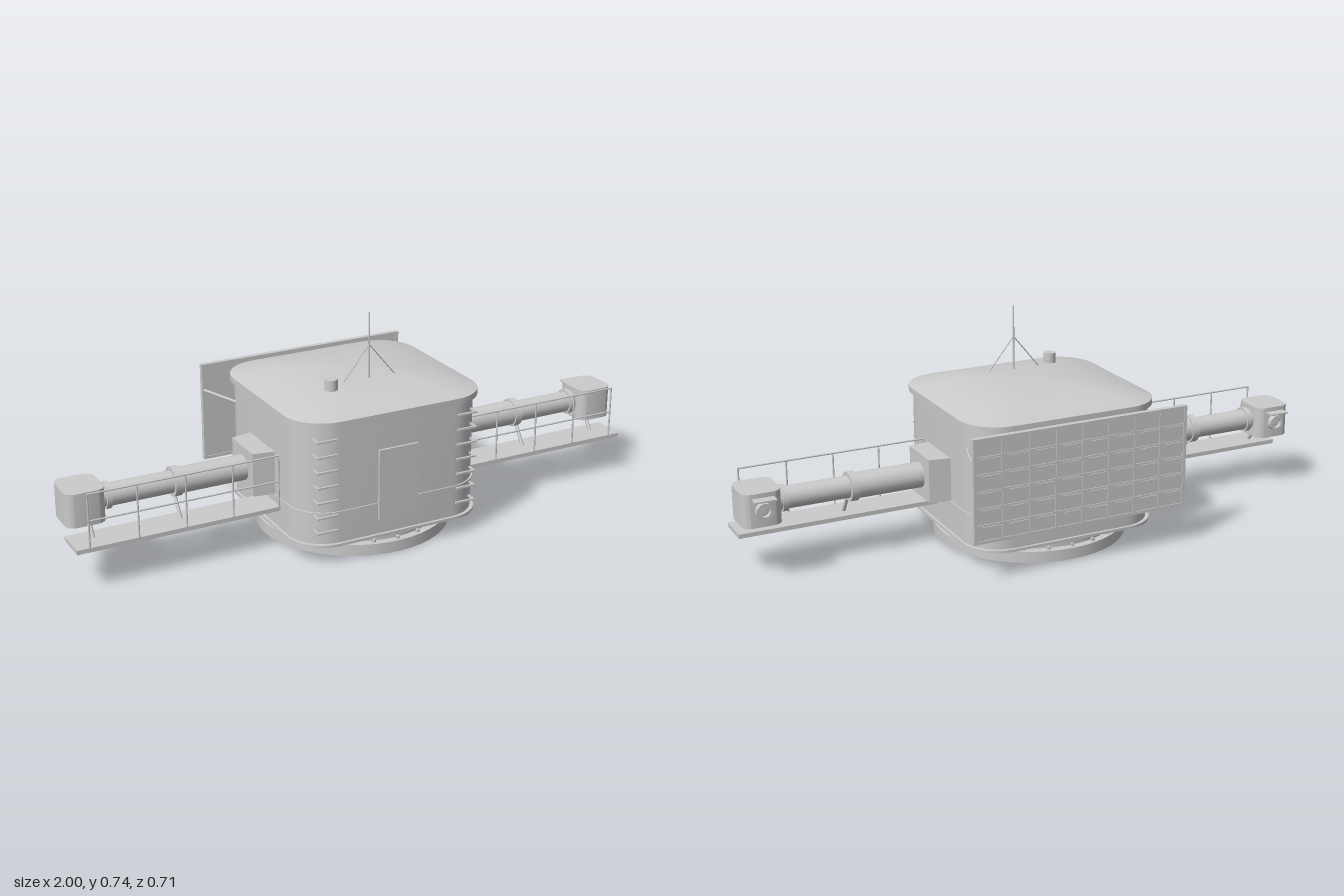
import * as THREE from 'three';
import { toCreasedNormals } from 'three/addons/utils/BufferGeometryUtils.js';

const grey = new THREE.MeshStandardMaterial({ color: 0xcccccc });
const CZ = 0.035; // depth of the body axis

function add(parent, name, geometry, x = 0, y = 0, z = 0) {
  const mesh = new THREE.Mesh(geometry, grey);
  mesh.name = name;
  mesh.position.set(x, y, z);
  parent.add(mesh);
  return mesh;
}

function box(parent, name, w, h, d, x, y, z) {
  return add(parent, name, new THREE.BoxGeometry(w, h, d), x, y, z);
}

// Round bar between two points
function rod(parent, name, a, b, r0, r1 = r0, sides = 8) {
  const from = new THREE.Vector3(...a), to = new THREE.Vector3(...b);
  const dir = to.clone().sub(from);
  const mesh = add(parent, name, new THREE.CylinderGeometry(r1, r0, dir.length(), sides));
  mesh.position.copy(from).add(to).multiplyScalar(0.5);
  mesh.quaternion.setFromUnitVectors(new THREE.Vector3(0, 1, 0), dir.normalize());
  return mesh;
}

// Stack of rounded rectangles, each [halfX, halfZ, cornerRadius, y], closed at both ends
function loft(sections, seg = 8, crease = 0.5) {
  const rings = [[0, 0, 0, sections[0][3]], ...sections, [0, 0, 0, sections.at(-1)[3]]];
  const n = 4 * (seg + 1), pos = [], index = [];
  for (const [hx, hz, r, y] of rings) {
    for (let q = 0; q < 4; q++) {
      const sx = q === 0 || q === 3 ? 1 : -1, sz = q < 2 ? 1 : -1;
      for (let i = 0; i <= seg; i++) {
        const a = (q + i / seg) * Math.PI / 2;
        pos.push(sx * (hx - r) + r * Math.cos(a), y, sz * (hz - r) + r * Math.sin(a));
      }
    }
  }
  for (let j = 0; j < rings.length - 1; j++) {
    for (let i = 0; i < n; i++) {
      const a = j * n + i, b = j * n + (i + 1) % n;
      if (rings[j][0] > 0) index.push(a, a + n, b);
      if (rings[j + 1][0] > 0) index.push(b, a + n, b + n);
    }
  }
  const g = new THREE.BufferGeometry();
  g.setAttribute('position', new THREE.Float32BufferAttribute(pos, 3));
  g.setIndex(index);
  return toCreasedNormals(g, crease);
}

function buildBase(parent) {
  const base = new THREE.Group();
  base.name = 'base';
  parent.add(base);
  add(base, 'baseRing', new THREE.CylinderGeometry(0.322, 0.322, 0.038, 48), 0, 0.019, CZ);
  add(base, 'neck', new THREE.CylinderGeometry(0.296, 0.296, 0.026, 48), 0, 0.05, CZ);
  for (let i = 0; i < 24; i++) {
    const a = i * Math.PI / 12;
    add(base, 'baseBolt', new THREE.CylinderGeometry(0.006, 0.006, 0.012, 6),
      0.307 * Math.sin(a), 0.042, CZ + 0.307 * Math.cos(a));
  }
}

function buildBody(parent) {
  const body = new THREE.Group();
  body.name = 'body';
  parent.add(body);
  const shell = (hx, hz, y0, y1) => loft([[hx, hz, 0.122, y0], [hx, hz, 0.122, y1]]);
  add(body, 'bodyShell', shell(0.324, 0.304, 0.06, 0.46), 0, 0, CZ);
  add(body, 'lowerFlange', shell(0.333, 0.313, 0.06, 0.069), 0, 0, CZ);
  add(body, 'seam', shell(0.328, 0.308, 0.171, 0.176), 0, 0, CZ);
  add(body, 'roof', loft([
    [0.337, 0.316, 0.13, 0.457], [0.337, 0.316, 0.13, 0.477], [0.326, 0.305, 0.125, 0.48],
    [0.22, 0.205, 0.09, 0.511], [0.11, 0.103, 0.045, 0.519], [0.002, 0.002, 0.001, 0.525],
  ]), 0, 0, CZ);
  box(body, 'door', 0.14, 0.235, 0.016, 0, 0.237, 0.339);
  box(body, 'rearPlate', 0.1, 0.035, 0.01, 0, 0.328, -0.27);

  // Climbing rungs on both front corners
  for (const s of [-1, 1]) {
    for (let i = 0; i < 7; i++) {
      const y = 0.114 + i * 0.0505;
      box(body, 'rung', 0.07, 0.006, 0.007, s * 0.249, y, 0.341);
      for (const x of [0.217, 0.281]) box(body, 'rungFoot', 0.006, 0.006, 0.04, s * x, y, 0.323);
    }
  }

  // Roof fittings
  add(body, 'vent', new THREE.CylinderGeometry(0.021, 0.021, 0.045, 16), -0.15, 0.527, 0.177);
  rod(body, 'mast', [0, 0.505, 0.148], [0, 0.63, 0.148], 0.0035);
  rod(body, 'mastTip', [0, 0.63, 0.148], [0, 0.735, 0.148], 0.003);
  for (const s of [-1, 1]) rod(body, 'mastStay', [0, 0.63, 0.148], [s * 0.097, 0.512, 0.148], 0.002);
}

function buildArm(parent, s) {
  const arm = new THREE.Group();
  arm.name = s > 0 ? 'leftArm' : 'rightArm';
  parent.add(arm);
  const cy = 0.247;
  const tube = (name, x0, x1, r) => rod(arm, name, [s * x0, cy, CZ], [s * x1, cy, CZ], r, r, 24);

  // Mount narrowing outwards
  const mount = new THREE.BoxGeometry(0.09, 0.145, 0.188);
  const p = mount.attributes.position;
  for (let i = 0; i < p.count; i++) if (p.getX(i) * s > 0) p.setZ(i, p.getZ(i) * 0.83);
  mount.computeVertexNormals();
  add(arm, 'armMount', mount, s * 0.349, cy, CZ);

  tube('innerTube', 0.38, 0.63, 0.042);
  tube('outerTube', 0.62, 0.89, 0.036);
  tube('middleCollar', 0.615, 0.64, 0.048);
  tube('endCollar', 0.845, 0.862, 0.043);

  // End housing with a rear-facing lens under a visor
  add(arm, 'endHousing', loft([[0.064, 0.069, 0.032, 0.19], [0.064, 0.069, 0.032, 0.3]]), s * 0.936, 0, CZ);
  const profile = [[0.017, 0.01], [0.017, 0.024], [0.027, 0.024], [0.027, 0]]
    .map(([r, y]) => new THREE.Vector2(r, y)).reverse();
  profile.push(new THREE.Vector2(0, 0.012));
  const lens = add(arm, 'lens', toCreasedNormals(new THREE.LatheGeometry(profile, 20), 0.5), s * 0.936, 0.245, -0.029);
  lens.rotation.x = -Math.PI / 2;
  lens.material = new THREE.MeshStandardMaterial({ color: 0xcccccc, side: THREE.DoubleSide });
  box(arm, 'visor', 0.07, 0.005, 0.04, s * 0.936, 0.283, -0.048);

  // Walkway with railing and support struts
  box(arm, 'walkway', 0.68, 0.014, 0.115, s * 0.655, 0.138, 0.105);
  for (const y of [0.232, 0.319]) rod(arm, 'rail', [s * 0.328, y, 0.16], [s * 0.955, y, 0.16], 0.003);
  for (let i = 0; i < 5; i++) {
    const x = s * (0.953 - i * 0.1563);
    rod(arm, 'railPost', [x, 0.14, 0.16], [x, 0.32, 0.16], 0.003);
  }
  for (const x of [0.635, 0.92]) rod(arm, 'walkwayStrut', [s * x, 0.22, 0.045], [s * x, 0.135, 0.1], 0.006);
}

function buildPanel(parent) {
  const panel = new THREE.Group();
  panel.name = 'rearPanel';
  parent.add(panel);
  const w = 0.74, h = 0.33, cy = 0.305, z = -0.331;
  box(panel, 'panelSheet', w, h, 0.012, 0, cy, z);
  for (const s of [-1, 1]) {
    box(panel, 'panelFrame', w + 0.012, 0.01, 0.018, 0, cy + s * h / 2, z);
    box(panel, 'panelFrame', 0.01, h, 0.018, s * w / 2, cy, z);
    for (const y of [0.188, 0.423]) rod(panel, 'panelStandoff', [s * 0.225, y, -0.24], [s * 0.225, y, -0.327], 0.006);
    rod(panel, 'panelBrace', [s * 0.318, 0.384, -0.17], [s * 0.37, 0.384, -0.328], 0.005);
  }
  // Cell grid and the short bars in front of it
  for (let i = 1; i < 8; i++) box(panel, 'columnLine', 0.005, h, 0.004, (i / 8 - 0.5) * w, cy, z - 0.007);
  for (let j = 1; j < 6; j++) {
    const y = cy + (j / 6 - 0.5) * h;
    box(panel, 'rowLine', w, 0.004, 0.004, 0, y, z - 0.007);
    for (let i = 0; i < 8; i++) box(panel, 'cellBar', 0.064, 0.003, 0.003, (i - 3.5) * 0.0925, y, -0.355);
  }
}

export function createModel() {
  const model = new THREE.Group();
  model.name = 'rangefinderTurret';
  buildBase(model);
  buildBody(model);
  for (const s of [-1, 1]) buildArm(model, s);
  buildPanel(model);
  return model;
}
